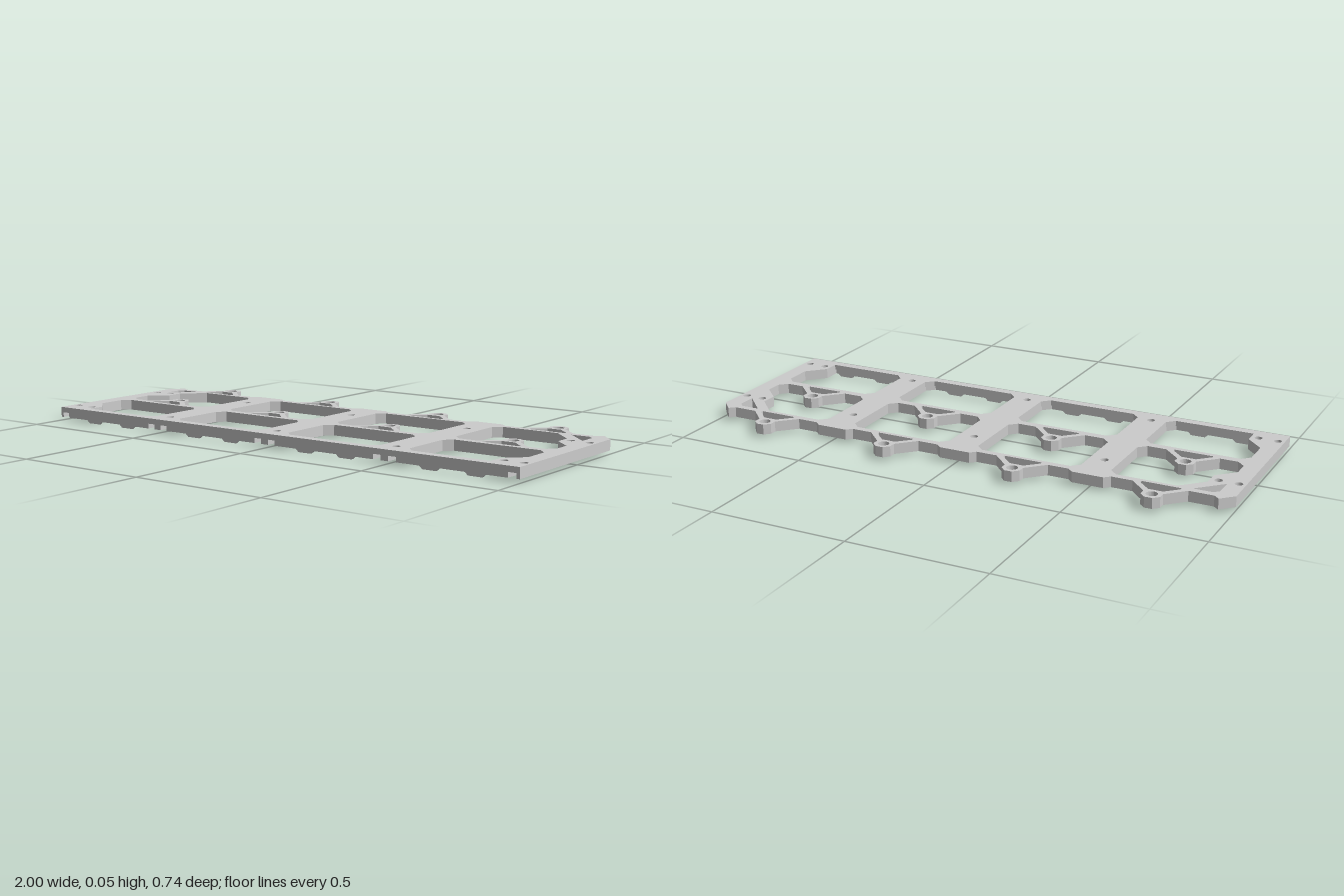
import * as THREE from 'three';

const BASE = 0.013, MID = 0.031, TOP = 0.051, FRONT = 0.372;
const BAYS = [-0.75, -0.25, 0.25, 0.75];
const GROOVES = [-0.974, -0.53, -0.47, -0.03, 0.03, 0.47, 0.53, 0.974];
const BACK_LUG = -0.338, MID_LUG = -0.022;

// Points are [x, z]; the shape is laid flat after extrusion
const toPath = (pts, Type = THREE.Path) =>
  new Type(pts.map(([x, z]) => new THREE.Vector2(x, -z)));
const mirror = pts => pts.map(([x, z]) => [-x, z]);
const shift = (pts, cx, cz) => pts.map(([x, z]) => [x + cx, z + cz]);

function circle(x, z, r) {
  const p = new THREE.Path();
  p.absarc(x, -z, r, 0, Math.PI * 2);
  return p;
}

// Triangular screw lug with an octagonal boss, left foot to right foot
const lugHalf = [[-0.097, 0.076], [-0.034, 0.013], [-0.034, -0.013], [-0.014, -0.033]];
const lug = [...lugHalf, ...mirror(lugHalf).reverse()];
const lugWindow = [[-0.07, 0.086], [-0.07, 0.076], [-0.026, 0.033],
  [0.026, 0.033], [0.07, 0.076], [0.07, 0.086]];

// Frame outline, optionally with the grooves opening at the front edge
function outline(grooved) {
  const pts = [[-1, FRONT], [-1, -0.235], [-0.955, -0.28], [-0.935, -0.262]];
  BAYS.forEach((c, i) => {
    pts.push(...shift(lug, c, BACK_LUG));
    if (i < 3) {
      const x = c + 0.25;
      pts.push([x - 0.077, -0.262], [x - 0.057, -0.281], [x + 0.057, -0.281], [x + 0.077, -0.262]);
    }
  });
  pts.push([0.935, -0.262], [0.955, -0.28], [1, -0.235], [1, FRONT]);
  if (grooved) for (const g of [...GROOVES].reverse())
    pts.push([g + 0.015, FRONT], [g + 0.015, -0.22], [g - 0.015, -0.22], [g - 0.015, FRONT]);
  // Counter-clockwise, so that the hole walls are turned to face inwards
  return pts.reverse();
}

// Openings of the two left bays, mirrored to the right; rail is the inner edge of the front rail
function openings(rail) {
  const k = 0.028, b0 = 0.054, b1 = 0.084, back = -0.237;
  const outerFront = [[-0.94, b1 + k], [-0.94 + k, b1], [-0.556 - k, b1], [-0.556, b1 + k],
    [-0.556, rail - k], [-0.556 - k, rail], [-0.877, rail], [-0.877, 0.278], [-0.94, 0.213]];
  const innerFront = [[-0.446, b1 + k], [-0.446 + k, b1], [-0.056 - k, b1], [-0.056, b1 + k],
    [-0.056, rail - k], [-0.056 - k, rail], [-0.446 + k, rail], [-0.446, rail - k]];
  const outerBack = [[-0.94, b0 - k], [-0.94 + k, b0], ...shift(lug, -0.75, MID_LUG),
    [-0.556 - k, b0], [-0.556, b0 - k], [-0.556, back + k], [-0.556 - k, back],
    [-0.8, back], [-0.877, -0.16], [-0.877, -0.098], [-0.94, -0.037]];
  const innerBack = [[-0.446, b0 - k], [-0.446 + k, b0], ...shift(lug, -0.25, MID_LUG),
    [-0.056 - k, b0], [-0.056, b0 - k], [-0.056, back + k], [-0.056 - k, back],
    [-0.446 + k, back], [-0.446, back + k]];
  const cornerWindow = [[-0.94, back + 0.018], [-0.922, back], [-0.853, back], [-0.94, -0.15]];
  const left = [outerFront, innerFront, outerBack, innerBack, cornerWindow];
  return [...left, ...left.map(mirror)];
}

// One layer of the frame between two heights
function layer(name, y0, y1, grooved, rail, boreRadius, material) {
  const shape = toPath(outline(grooved), THREE.Shape);
  for (const pts of openings(rail)) shape.holes.push(toPath(pts));
  for (const c of BAYS) for (const z of [BACK_LUG, MID_LUG]) {
    shape.holes.push(toPath(shift(lugWindow, c, z)), circle(c, z, boreRadius));
  }
  // Mounting holes; the outermost ones open into the edge grooves
  const xs = [-0.905, -0.5, 0, 0.5, 0.905];
  if (!grooved) xs.push(-0.975, 0.975);
  for (const x of xs) for (const z of [-0.133, 0.304]) shape.holes.push(circle(x, z, 0.014));
  const geo = new THREE.ExtrudeGeometry(shape, { depth: y1 - y0, bevelEnabled: false, curveSegments: 12 });
  geo.rotateX(-Math.PI / 2).translate(0, y0, 0);
  const mesh = new THREE.Mesh(geo, material);
  mesh.name = name;
  return mesh;
}

export function createModel() {
  const material = new THREE.MeshStandardMaterial({ color: 0xcccccc });
  const group = new THREE.Group();
  group.name = 'mountingFrame';
  // The lower layer has a slightly recessed front rail and narrower bores
  group.add(layer('groovedLowerFrame', BASE, MID, true, 0.347, 0.013, material));
  group.add(layer('upperFrame', MID, TOP, false, 0.338, 0.02, material));

  // Thin locating teeth under the front rail
  const tooth = new THREE.Shape([[-0.042, BASE + 0.001], [-0.026, 0], [0.026, 0], [0.042, BASE + 0.001]]
    .map(([x, y]) => new THREE.Vector2(x, y)));
  const toothGeo = new THREE.ExtrudeGeometry(tooth, { depth: 0.008, bevelEnabled: false });
  for (const c of BAYS) for (const s of [-1, 1]) {
    const mesh = new THREE.Mesh(toothGeo, material);
    mesh.name = 'locatingTooth';
    mesh.position.set(c + s * 0.085, 0, 0.353);
    group.add(mesh);
  }
  return group;
}
